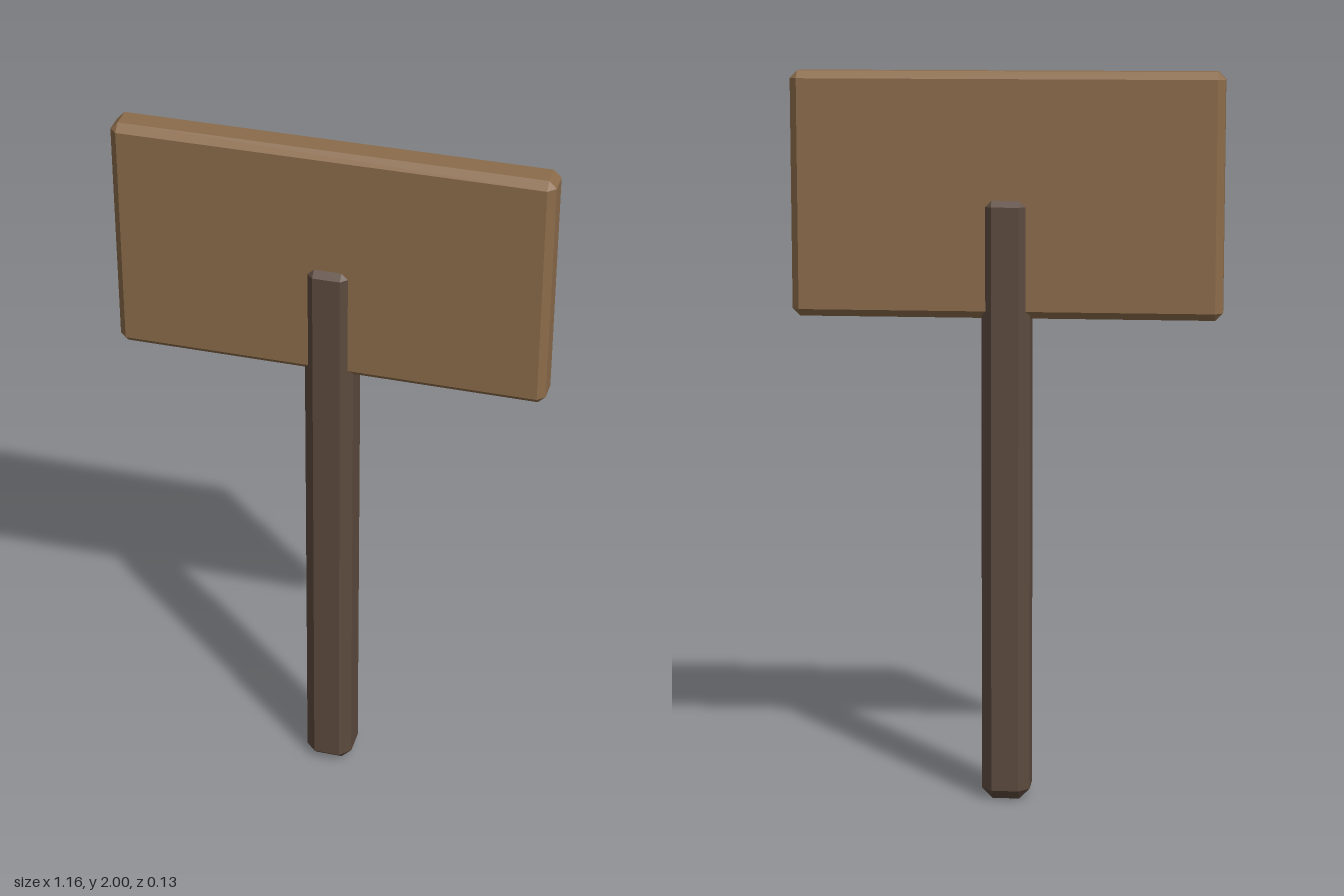
import * as THREE from 'three';
import { ConvexGeometry } from 'three/addons/geometries/ConvexGeometry.js';

// Box with flat chamfers on every edge and small triangular corners
function chamferBox(width, height, depth, bevel) {
  const half = [width / 2, height / 2, depth / 2];
  const points = [];
  for (const sx of [-1, 1]) for (const sy of [-1, 1]) for (const sz of [-1, 1]) {
    for (let axis = 0; axis < 3; axis++) {
      const [x, y, z] = half.map((h, i) => (i === axis ? h : h - bevel));
      points.push(new THREE.Vector3(sx * x, sy * y, sz * z));
    }
  }
  return new ConvexGeometry(points);
}

export function createModel() {
  const group = new THREE.Group();
  group.name = 'signpost';

  const boardWood = new THREE.MeshStandardMaterial({ color: 0x8b6b4a });
  boardWood.name = 'board wood';
  const postWood = new THREE.MeshStandardMaterial({ color: 0x5c4a3e });
  postWood.name = 'post wood';

  const addPart = (name, size, bevel, bottom, material) => {
    const mesh = new THREE.Mesh(chamferBox(...size, bevel), material);
    mesh.name = name;
    mesh.position.y = bottom + size[1] / 2;
    group.add(mesh);
  };

  // Upright post, showing through on both faces of the board
  addPart('post', [0.132, 1.67, 0.132], 0.029, 0, postWood);

  // Wide blank board
  addPart('board', [1.164, 0.66, 0.098], 0.02, 1.34, boardWood);

  return group;
}
